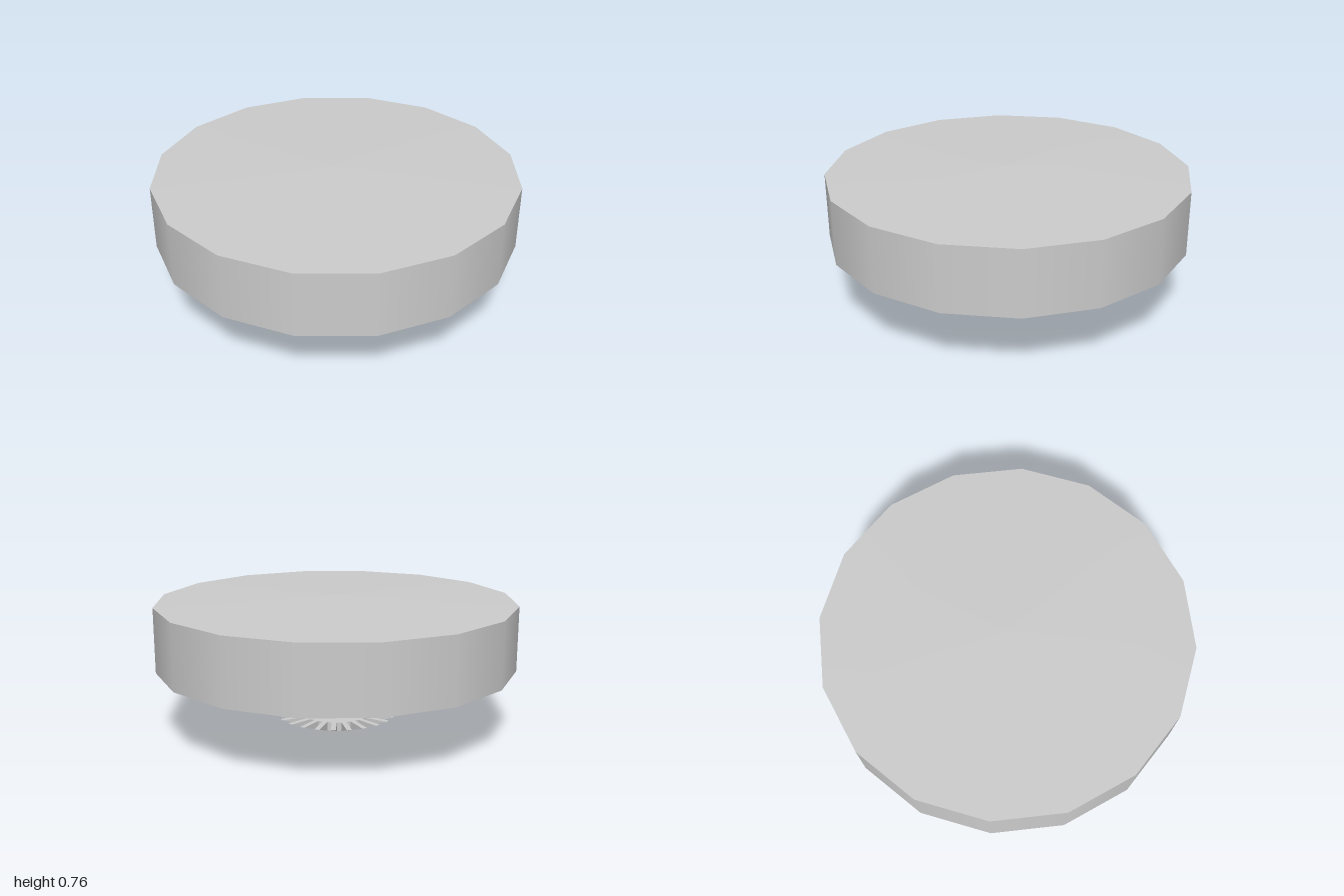
import * as THREE from 'three';

const SIDES = 16;

function material(flatShading) {
  return new THREE.MeshStandardMaterial({ color: 0xcccccc, flatShading });
}

export function createModel() {
  const model = new THREE.Group();
  const smooth = material(false);
  const faceted = material(true);

  function add(name, geometry, mat, parent = model) {
    const mesh = new THREE.Mesh(geometry, mat);
    mesh.name = name;
    parent.add(mesh);
    return mesh;
  }

  // Profiles run [radius, height], outward and upward from the axis
  function lathe(points) {
    return new THREE.LatheGeometry(points.map(([r, y]) => new THREE.Vector2(r, y)), SIDES);
  }

  // Broad cap: smooth rim and shallow conical top
  add('capRim', lathe([[1, 0.37], [1, 0.73]]), smooth);
  add('capTop', lathe([[1, 0.73], [0, 0.76]]), smooth);

  // Underside: tapered hub, drum, collar, recess and outer ring
  add('capUnderside', lathe([
    [0, 0.352], [0.15, 0.352], [0.295, 0.384], [0.295, 0.455], [0.4, 0.455],
    [0.4, 0.55], [0.72, 0.55], [0.72, 0.37], [1, 0.37],
  ]), faceted);

  // Stem
  add('stem', new THREE.CylinderGeometry(0.095, 0.095, 0.36, SIDES).translate(0, 0.18, 0), faceted);

  // Bevel gear: short core with wedge teeth flaring upward
  const gear = new THREE.Group();
  gear.name = 'gear';
  model.add(gear);
  const low = 0.036, high = 0.085;
  add('gearCore', new THREE.CylinderGeometry(0.205, 0.205, high - low, 24)
    .translate(0, (low + high) / 2, 0), faceted, gear);

  const wedge = new THREE.Shape([
    new THREE.Vector2(0.19, low), new THREE.Vector2(0.205, low),
    new THREE.Vector2(0.34, high), new THREE.Vector2(0.19, high),
  ]);
  const width = 0.028;
  const toothGeometry = new THREE.ExtrudeGeometry(wedge, { depth: width, bevelEnabled: false })
    .translate(0, 0, -width / 2);
  const teeth = 24;
  for (let i = 0; i < teeth; i++) {
    add('gearTooth', toothGeometry, faceted, gear).rotation.y = (i / teeth) * Math.PI * 2;
  }

  return model;
}
